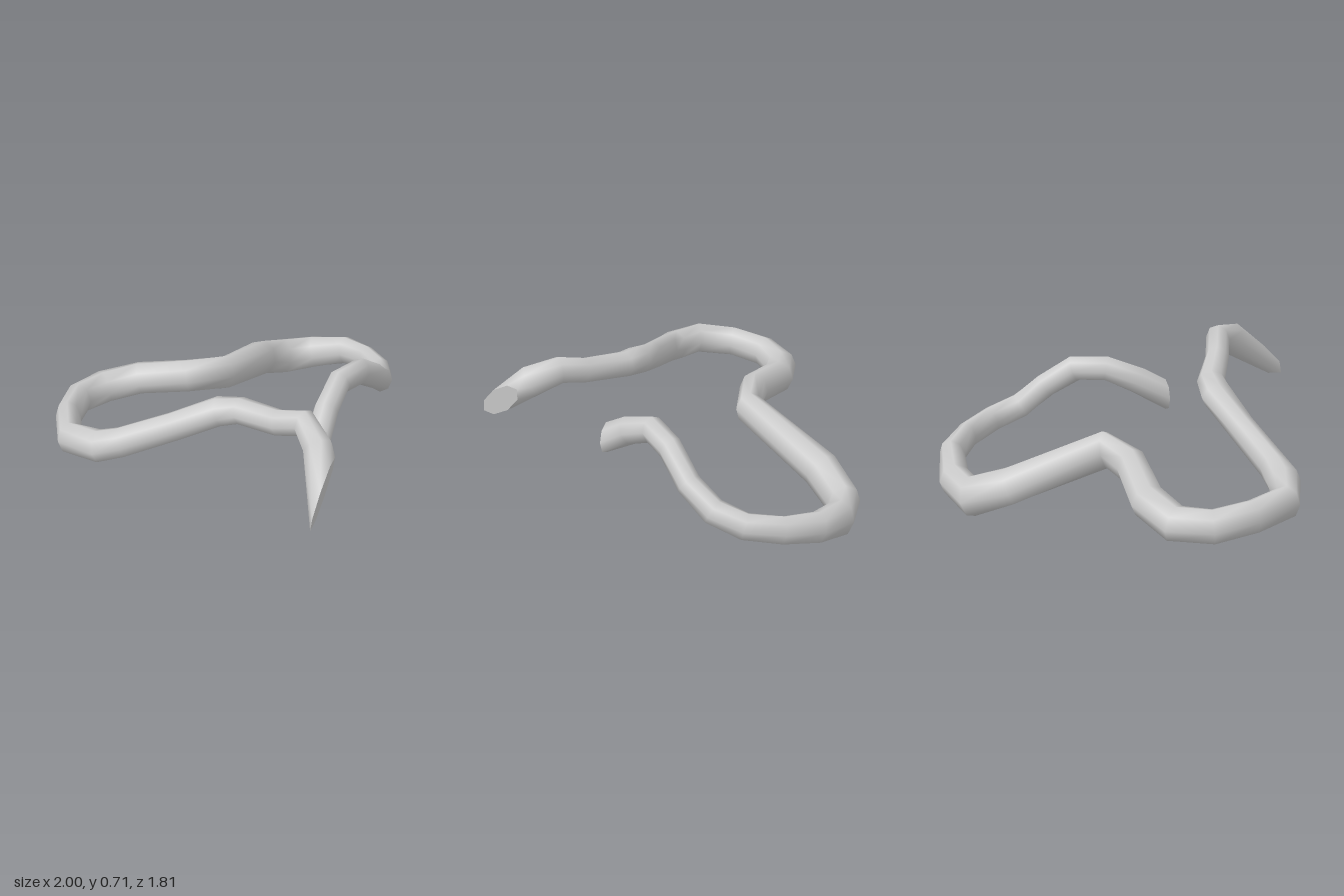
import * as THREE from 'three';

const V = (x, y, z) => new THREE.Vector3(x, y, z);
const SIDES = 8;

// Path stations: x, y, z of the centre, then half width and half height
const stations = [
  [0.09, 0.34, 0.325, 0.07, 0.09],
  [0.215, 0.44, 0.23, 0.066, 0.075],
  [0.36, 0.515, 0.145, 0.064, 0.07],
  [0.53, 0.5, 0.1, 0.06, 0.072],
  [0.69, 0.385, 0.05, 0.06, 0.068],
  [0.8, 0.28, -0.045, 0.063, 0.072],
  [0.9, 0.235, -0.175, 0.058, 0.075],
  [0.943, 0.21, -0.355, 0.053, 0.08],
  [0.925, 0.185, -0.535, 0.068, 0.085],
  [0.808, 0.133, -0.695, 0.08, 0.1],
  [0.65, 0.115, -0.78, 0.088, 0.11],
  [0.45, 0.2, -0.725, 0.1, 0.1],
  [0.04, 0.378, -0.46, 0.07, 0.1],
  [-0.15, 0.375, -0.55, 0.08, 0.095],
  [-0.34, 0.325, -0.75, 0.09, 0.09],
  [-0.52, 0.292, -0.83, 0.09, 0.09],
  [-0.7, 0.3, -0.79, 0.075, 0.09],
  [-0.84, 0.315, -0.645, 0.067, 0.09],
  [-0.93, 0.318, -0.455, 0.07, 0.092],
  [-0.85, 0.33, -0.29, 0.085, 0.088],
  [-0.76, 0.36, -0.215, 0.07, 0.085],
  [-0.53, 0.45, -0.07, 0.068, 0.08],
  [-0.335, 0.54, 0.055, 0.085, 0.075],
  [-0.26, 0.565, 0.145, 0.073, 0.07],
  [-0.19, 0.595, 0.38, 0.063, 0.07],
  [-0.133, 0.645, 0.515, 0.066, 0.075],
  [-0.155, 0.59, 0.66, 0.075, 0.088],
  [-0.24, 0.45, 0.82, 0.07, 0.06],
];

// The two cut ends are slanted, so their section axes are given directly
const cuts = {
  0: [V(-0.05, 0, -0.045), V(0, 0.09, 0)],
  [stations.length - 1]: [V(0.125, 0.12, -0.075), V(-0.035, 0.045, 0.03)],
};

// Ring of corners round the path at station i, counterclockwise about the direction of travel
function ring(i) {
  const at = (k) => V(...stations[k].slice(0, 3));
  const centre = at(i);
  const dir = V(0, 0, 0);
  if (i > 0) dir.add(centre.clone().sub(at(i - 1)).normalize());
  if (i < stations.length - 1) dir.add(at(i + 1).sub(centre).normalize());
  dir.normalize();
  const side = V(0, 1, 0).cross(dir).normalize();
  const up = dir.clone().cross(side);
  const [u, v] = cuts[i] || [side.multiplyScalar(stations[i][3]), up.multiplyScalar(stations[i][4])];
  return Array.from({ length: SIDES }, (_, j) => {
    const a = (j / SIDES) * Math.PI * 2;
    return centre.clone().addScaledVector(u, Math.cos(a)).addScaledVector(v, Math.sin(a));
  });
}

function build(points, index) {
  const g = new THREE.BufferGeometry().setFromPoints(points);
  g.setIndex(index);
  g.computeVertexNormals();
  return g;
}

export function createModel() {
  const group = new THREE.Group();
  group.name = 'bentBranch';
  const material = new THREE.MeshStandardMaterial({ color: 0xcccccc });
  const add = (name, geometry) => {
    const mesh = new THREE.Mesh(geometry, material);
    mesh.name = name;
    group.add(mesh);
  };

  // Smooth skin between successive rings
  const rings = stations.map((_, i) => ring(i));
  const index = [];
  for (let i = 0; i < rings.length - 1; i++) {
    for (let j = 0; j < SIDES; j++) {
      const a = i * SIDES + j;
      const b = i * SIDES + ((j + 1) % SIDES);
      index.push(a, b, a + SIDES, b, b + SIDES, a + SIDES);
    }
  }
  add('branch', build(rings.flat(), index));

  // Flat cut faces at both ends
  const fan = [];
  for (let j = 1; j < SIDES - 1; j++) fan.push(0, j, j + 1);
  add('shortCutEnd', build(rings[0].slice().reverse(), fan));
  add('slantedCutEnd', build(rings[rings.length - 1], fan));

  return group;
}
